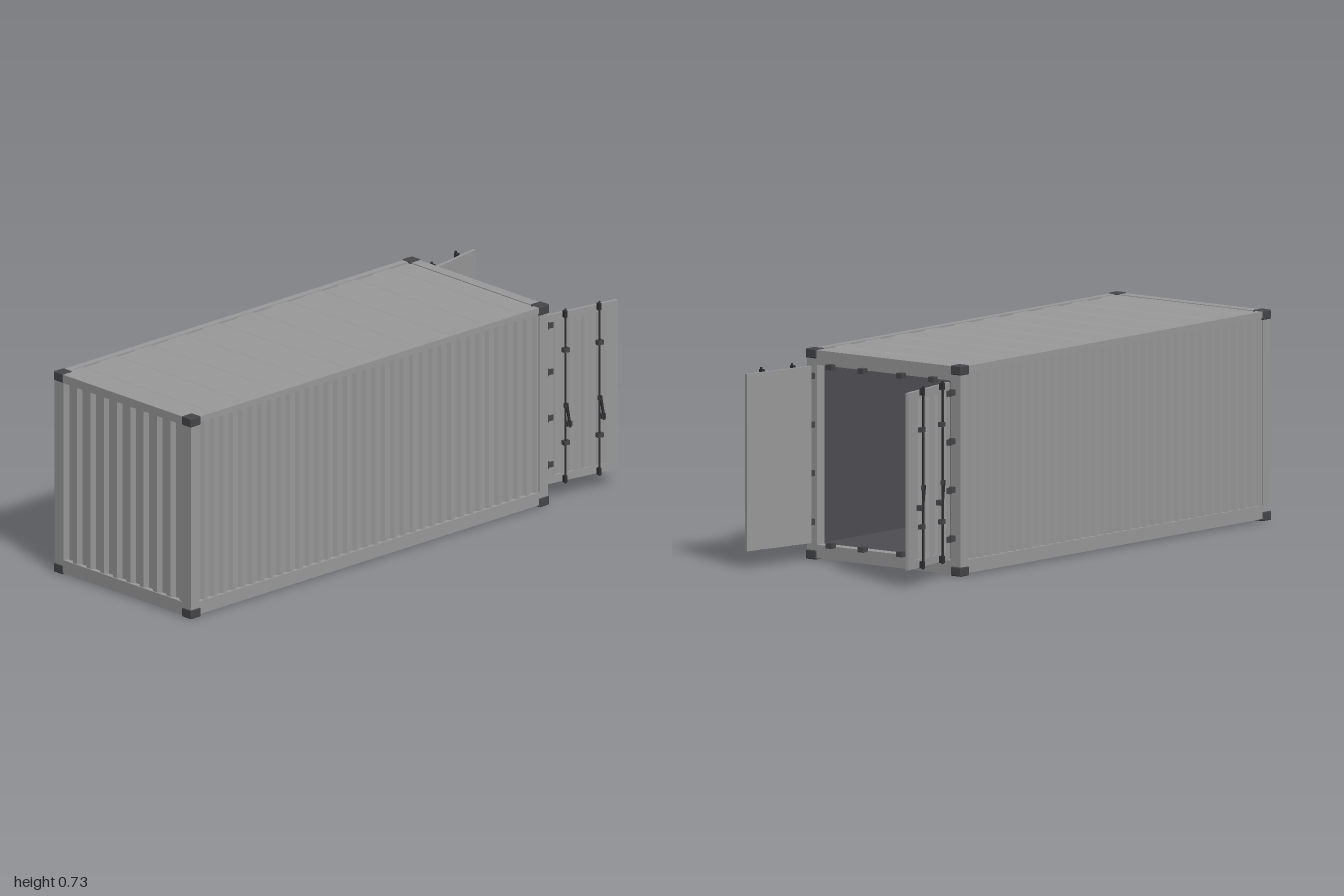
import * as THREE from 'three';
import { RoundedBoxGeometry } from 'three/addons/geometries/RoundedBoxGeometry.js';

const mat = (name, color) => {
  const m = new THREE.MeshStandardMaterial({ color });
  m.name = name;
  return m;
};

export function createModel() {
  const model = new THREE.Group();
  model.name = 'shippingContainer';
  const steel = mat('grey painted steel', 0x999999);
  const fitting = mat('dark fittings', 0x464649);
  const bar = mat('black lock bars', 0x303033);
  const lining = mat('dark lining', 0x4e4d52);

  const add = (parent, name, geo, material) => {
    const m = new THREE.Mesh(geo, material);
    m.name = name;
    parent.add(m);
    return m;
  };
  // box given by its minimum and maximum on each axis
  const box = (parent, name, material, x0, x1, y0, y1, z0, z1) => {
    const m = add(parent, name, new THREE.BoxGeometry(x1 - x0, y1 - y0, z1 - z0), material);
    m.position.set((x0 + x1) / 2, (y0 + y1) / 2, (z0 + z1) / 2);
    return m;
  };
  // trapezoid sheet: ribs run along z, ridges at y = 0, valleys at y = -depth
  const corrugated = (length, ribs, depth, run, steps = [0.3, 0.5, 0.8, 1]) => {
    const p = length / ribs, line = [[-length / 2, 0]];
    for (let i = 0; i < ribs; i++) {
      const x = -length / 2 + i * p;
      line.push([x + p * steps[0], 0], [x + p * steps[1], -depth], [x + p * steps[2], -depth], [x + p * steps[3], 0]);
    }
    const back = line.map(([x, y]) => [x, y - 0.004]).reverse();
    const shape = new THREE.Shape([...line, ...back].map(([x, y]) => new THREE.Vector2(x, y)));
    return new THREE.ExtrudeGeometry(shape, { depth: run, bevelEnabled: false });
  };

  const X0 = -1, X1 = 0.69, P = 0.043, Z = 0.336;

  // corner castings and posts
  for (const end of [-1, 1]) {
    for (const s of [-1, 1]) {
      const x = end < 0 ? X0 + 0.0235 : X1 - 0.0225;
      for (const y of [0.016, 0.709]) {
        add(model, 'cornerCasting', new RoundedBoxGeometry(0.047, 0.032, 0.045, 2, 0.004), fitting)
          .position.set(x, y, s * 0.3165);
      }
      const a = end < 0 ? X0 + 0.003 : X1 - P;
      const z = [s * 0.292, s * Z].sort((p, q) => p - q);
      box(model, 'cornerPost', steel, a, a + P - 0.003, 0.03, 0.696, z[0], z[1]);
    }
  }

  // side rails and corrugated side walls
  for (const s of [-1, 1]) {
    const z = [s * 0.31, s * Z].sort((p, q) => p - q);
    box(model, 'topSideRail', steel, X0 + 0.04, X1 - 0.04, 0.7, 0.722, z[0], z[1]);
    box(model, 'bottomSideRail', steel, X0 + 0.04, X1 - 0.04, 0.008, 0.054, z[0], z[1]);
    const wall = corrugated(1.61, 36, 0.012, 0.65).rotateX(-Math.PI / 2);
    if (s > 0) wall.rotateY(Math.PI);
    add(model, 'sideWall', wall, steel).position.set(-0.155, 0.052, s * 0.332);
  }

  // end frames and corrugated closed end
  box(model, 'doorHeader', steel, X1 - P, X1 - 0.003, 0.672, 0.722, -0.296, 0.296);
  box(model, 'doorSill', steel, X1 - P, X1 - 0.003, 0.005, 0.052, -0.296, 0.296);
  box(model, 'endHeader', steel, X0 + 0.003, X0 + P, 0.692, 0.722, -0.296, 0.296);
  box(model, 'endSill', steel, X0 + 0.003, X0 + P, 0.005, 0.052, -0.296, 0.296);
  const endWall = corrugated(0.59, 9, 0.013, 0.644).rotateX(-Math.PI / 2).rotateY(Math.PI / 2);
  add(model, 'endWall', endWall, steel).position.set(X0 + 0.008, 0.05, 0);

  // shallow ribbed roof
  const roof = corrugated(1.61, 10, 0.004, 0.624, [0.42, 0.5, 0.92, 1]);
  add(model, 'roof', roof, steel).position.set(-0.155, 0.72, -0.312);

  // floor and interior lining
  box(model, 'floor', lining, X0 + P, X1 - P, 0.028, 0.052, -0.311, 0.311);
  box(model, 'ceilingLining', lining, X0 + P, X1 - P, 0.698, 0.704, -0.311, 0.311);
  box(model, 'endLining', lining, X0 + P - 0.006, X0 + P, 0.05, 0.7, -0.311, 0.311);
  for (const z of [-0.311, 0.305]) {
    box(model, 'sideLining', lining, X0 + P, X1 - P, 0.05, 0.7, z, z + 0.006);
  }

  // cam keepers on header and sill
  for (const y of [0.671, 0.056]) {
    for (const z of [-0.223, -0.084, 0.084, 0.223]) {
      box(model, 'camKeeper', fitting, X1 - 0.005, X1 + 0.02, y - 0.009, y + 0.009, z - 0.0125, z + 0.0125);
    }
  }

  // open doors: local x runs from hinge to free edge, local z points outward
  for (const s of [1, -1]) {
    const side = new THREE.Group();
    side.name = s > 0 ? 'leftDoor' : 'rightDoor';
    side.scale.z = s;
    model.add(side);
    const door = new THREE.Group();
    door.name = 'doorLeaf';
    door.position.set(0.711, 0, 0.301);
    door.rotation.y = -THREE.MathUtils.degToRad(10);
    side.add(door);
    const W = 0.292, B = 0.06, T = 0.67;

    box(door, 'doorInnerPanel', steel, 0, W, B, T, -0.006, -0.003);
    box(door, 'doorFrameSide', steel, 0, 0.026, B, T, -0.003, 0.006);
    box(door, 'doorFrameSide', steel, W - 0.032, W, B, T, -0.003, 0.006);
    box(door, 'doorFrameTop', steel, 0.026, W - 0.032, T - 0.028, T, -0.003, 0.006);
    box(door, 'doorFrameBottom', steel, 0.026, W - 0.032, B, B + 0.028, -0.003, 0.006);
    const panel = corrugated(W - 0.058, 4, 0.006, T - B - 0.056).rotateX(-Math.PI / 2).rotateY(Math.PI);
    add(door, 'doorCorrugation', panel, steel).position.set(W / 2 - 0.003, B + 0.028, 0.005);

    // lock rods with cams, brackets and handles
    for (const x of [0.069, 0.208]) {
      add(door, 'lockRod', new THREE.CylinderGeometry(0.004, 0.004, 0.63, 10), bar).position.set(x, 0.369, 0.017);
      for (const y of [0.665, 0.069]) {
        box(door, 'rodCam', bar, x - 0.006, x + 0.006, y - 0.012, y + 0.012, 0.006, 0.021);
      }
      for (const y of [0.535, 0.2]) {
        box(door, 'rodBracket', fitting, x - 0.008, x + 0.014, y - 0.008, y + 0.008, 0.005, 0.022);
      }
      const handle = box(door, 'lockHandle', bar, x + 0.004, x + 0.012, 0.255, 0.345, 0.02, 0.026);
      handle.rotation.z = 0.16;
      box(door, 'handleHub', fitting, x - 0.005, x + 0.008, 0.327, 0.343, 0.013, 0.024);
      box(door, 'handleCatch', fitting, x + 0.006, x + 0.024, 0.258, 0.276, 0.004, 0.022);
    }

    // hinges between post and leaf
    for (const y of [0.13, 0.298, 0.465, 0.633]) {
      box(side, 'hingePlate', fitting, X1 - 0.005, 0.713, y - 0.01, y + 0.01, 0.3, 0.314);
      box(door, 'hingeLeaf', fitting, -0.002, 0.025, y - 0.01, y + 0.01, 0.004, 0.01);
      add(side, 'hingePin', new THREE.CylinderGeometry(0.006, 0.006, 0.026, 10), fitting).position.set(0.711, y, 0.307);
    }
  }
  return model;
}
